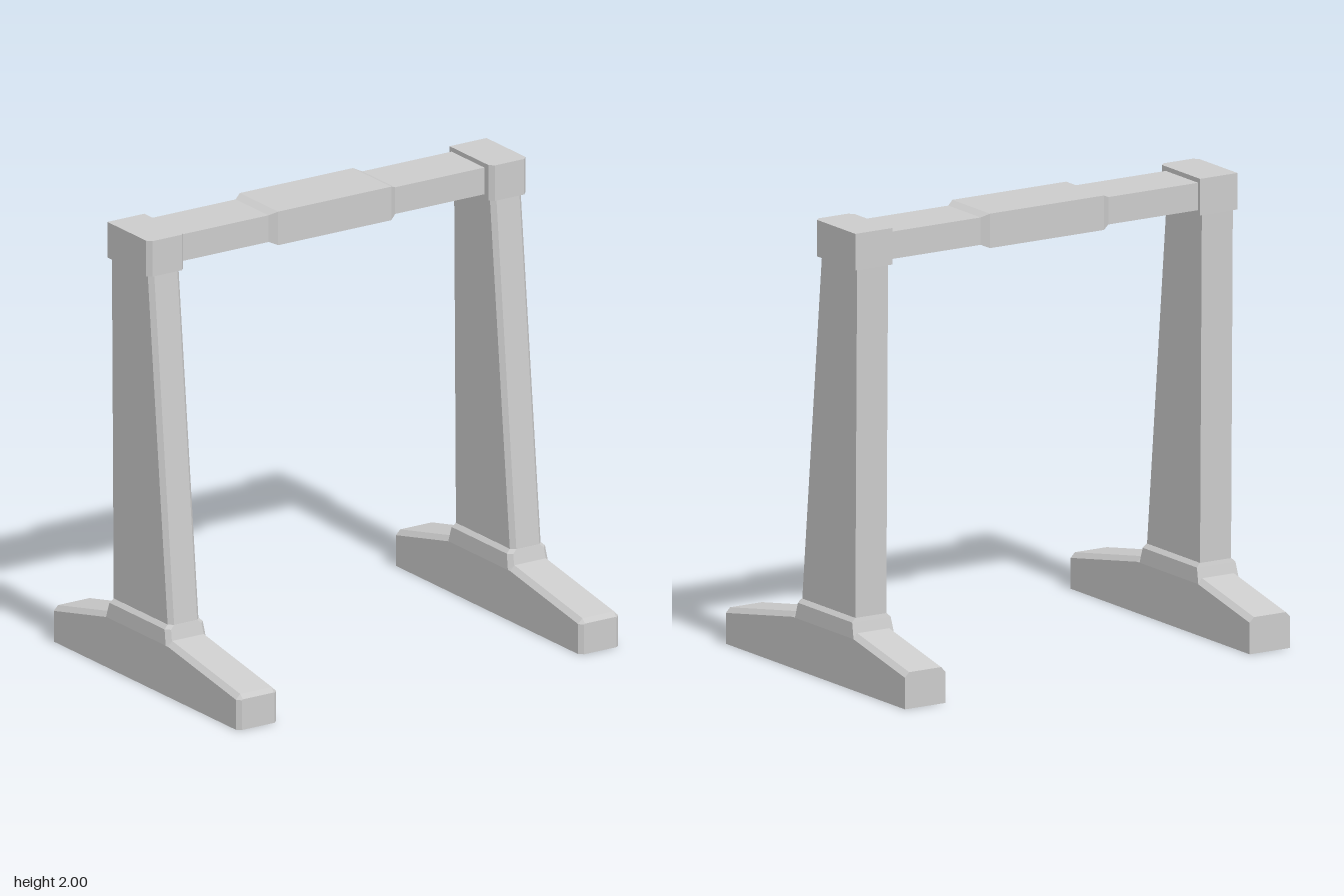
import * as THREE from 'three';

const material = new THREE.MeshStandardMaterial({ color: 0xcccccc, flatShading: true });

// Skins a list of convex rings, each counter-clockwise about the direction of travel.
function loft(name, rings) {
  const pos = [];
  const tri = (a, b, c) => pos.push(...a, ...b, ...c);
  for (let r = 0; r < rings.length - 1; r++) {
    const a = rings[r], b = rings[r + 1];
    for (let i = 0; i < a.length; i++) {
      const j = (i + 1) % a.length;
      tri(a[i], a[j], b[j]);
      tri(a[i], b[j], b[i]);
    }
  }
  const first = rings[0], last = rings[rings.length - 1];
  for (let i = 1; i < first.length - 1; i++) {
    tri(first[0], first[i + 1], first[i]);
    tri(last[0], last[i], last[i + 1]);
  }
  const geometry = new THREE.BufferGeometry();
  geometry.setAttribute('position', new THREE.Float32BufferAttribute(pos, 3));
  geometry.computeVertexNormals();
  const mesh = new THREE.Mesh(geometry, material);
  mesh.name = name;
  return mesh;
}

// Horizontal ring with its two front corners chamfered.
const levelRing = (y, front, back, h, c = 0.02) => [
  [-h, y, back], [-h, y, front - c], [-h + c, y, front],
  [h - c, y, front], [h, y, front - c], [h, y, back],
];

// Foot cross-section with both top edges chamfered.
const footRing = (z, top, h, c = 0.022) => [
  [-h, 0, z], [h, 0, z], [h, top - c, z],
  [h - c, top, z], [-h + c, top, z], [-h, top - c, z],
];

// Cross-section of the beam.
const beamRing = (x, y0, y1, z0, z1) => [[x, y0, z0], [x, y1, z0], [x, y1, z1], [x, y0, z1]];

function createUpright(name, x) {
  const upright = new THREE.Group();
  upright.name = name;
  upright.position.x = x;
  upright.add(
    // Long foot sloping down to both ends, with a bevelled toe
    loft('foot', [
      footRing(-0.7, 0.16, 0.103),
      footRing(-0.3, 0.247, 0.103),
      footRing(0.168, 0.247, 0.103),
      footRing(0.683, 0.157, 0.103),
      footRing(0.7, 0.137, 0.083, 0.004),
    ]),
    // Collar joining foot and post
    loft('collar', [
      levelRing(0.225, 0.17, -0.303, 0.103),
      levelRing(0.293, 0.154, -0.285, 0.098),
      levelRing(0.31, 0.15, -0.28, 0.08),
    ]),
    // Post with a leaning front face
    loft('post', [
      levelRing(0.3, 0.15, -0.28, 0.079),
      levelRing(1.85, -0.003, -0.294, 0.079),
    ]),
    // Block on top of the post
    loft('cap', [
      levelRing(1.84, 0.01, -0.305, 0.095),
      levelRing(2, 0.01, -0.305, 0.095),
    ]),
  );
  return upright;
}

export function createModel() {
  const model = new THREE.Group();
  model.name = 'gantryFrame';
  model.add(createUpright('leftUpright', 0.878), createUpright('rightUpright', -0.878));

  // Crossbeam with a thicker middle
  const thin = (x) => beamRing(x, 1.86, 1.98, -0.29, -0.04);
  const thick = (x) => beamRing(x, 1.845, 1.996, -0.31, -0.018);
  model.add(loft('crossbeam', [
    thin(-0.8), thin(-0.325), thick(-0.29), thick(0.29), thin(0.325), thin(0.8),
  ]));
  return model;
}
